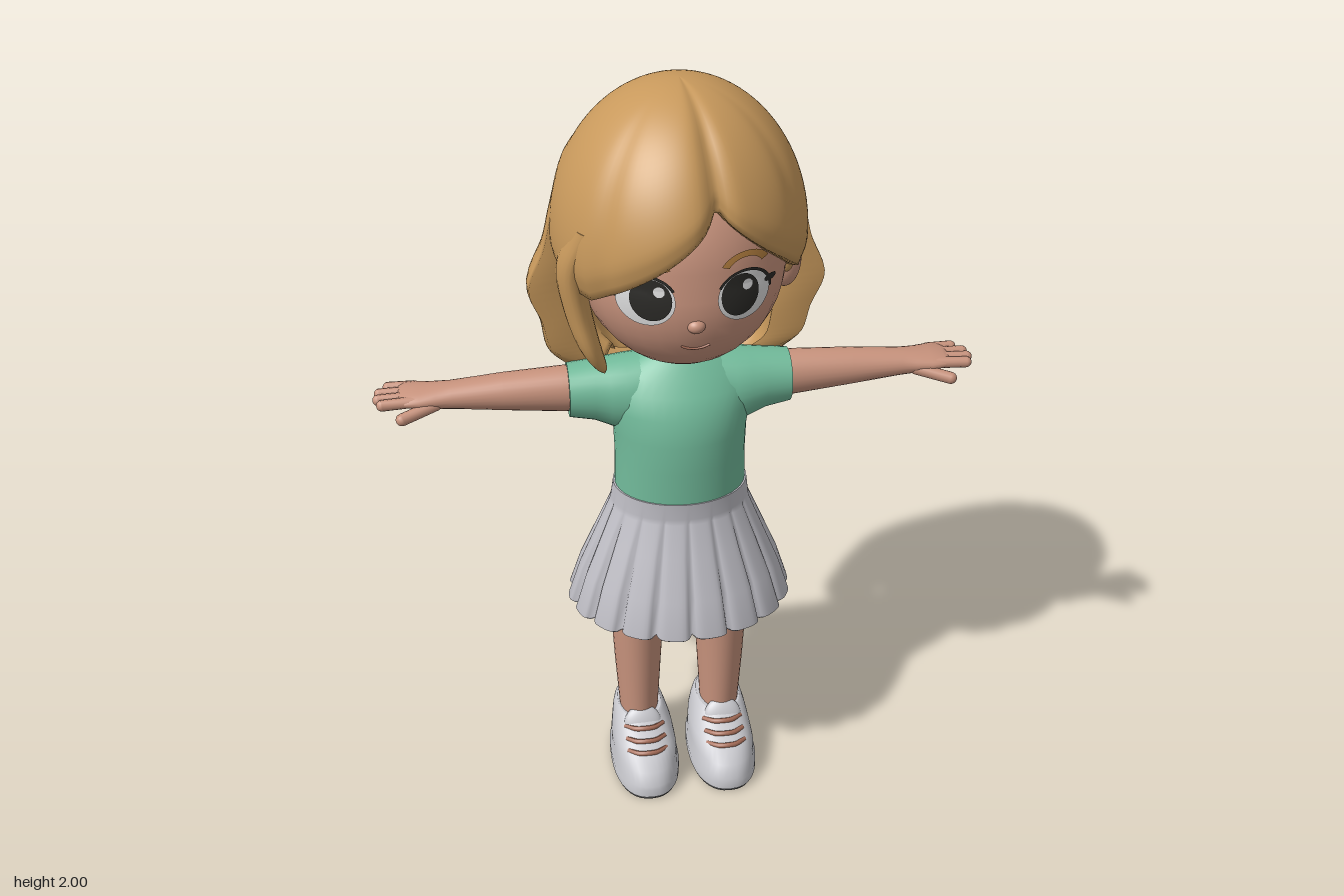
import * as THREE from 'three';

const mat = (name, color) => new THREE.MeshStandardMaterial({ name, color });
const V = (x, y, z) => new THREE.Vector3(x, y, z);

// Surface through rows of points; every row is a closed loop, optional end caps
function skin(rows, caps = true) {
  const list = rows.slice();
  if (caps) {
    const flat = (r) => {
      const c = r.reduce((s, p) => s.add(p), V(0, 0, 0)).divideScalar(r.length);
      return [r.map(() => c), r];
    };
    list.unshift(...flat(rows[0]));
    list.push(...flat(rows[rows.length - 1]).reverse());
  }
  const n = list[0].length, pos = [], idx = [];
  list.forEach((r) => r.forEach((p) => pos.push(p.x, p.y, p.z)));
  for (let i = 0; i < list.length - 1; i++) for (let j = 0; j < n; j++) {
    const a = i * n + j, b = i * n + (j + 1) % n;
    idx.push(a, b, b + n, a, b + n, a + n);
  }
  const g = new THREE.BufferGeometry();
  g.setAttribute('position', new THREE.Float32BufferAttribute(pos, 3));
  g.setIndex(idx);
  g.computeVertexNormals();
  return g;
}

// Upright loft: [y, cx, cz, rx, rz]; e < 1 squares the section
const loftY = (secs, n = 32, e = 1) => skin(secs.map(([y, cx, cz, rx, rz]) =>
  Array.from({ length: n }, (_, j) => {
    const a = j / n * Math.PI * 2, s = Math.sin(a), c = Math.cos(a);
    return V(cx + rx * Math.sign(s) * Math.abs(s) ** e, y, cz + rz * Math.sign(c) * Math.abs(c) ** e);
  })));
// Sideways loft: [x, cy, cz, ry, rz]
const loftX = (secs, n = 28) => skin(secs.map(([x, cy, cz, ry, rz]) =>
  Array.from({ length: n }, (_, j) => {
    const a = j / n * Math.PI * 2;
    return V(x, cy - ry * Math.sin(a), cz + rz * Math.cos(a));
  })));

function capsule(a, b, r) {
  const d = b.clone().sub(a), g = new THREE.CapsuleGeometry(r, d.length(), 6, 12);
  g.applyQuaternion(new THREE.Quaternion().setFromUnitVectors(V(0, 1, 0), d.normalize()));
  return g.translate((a.x + b.x) / 2, (a.y + b.y) / 2, (a.z + b.z) / 2);
}
const ball = (x, y, z, rx, ry, rz) => new THREE.SphereGeometry(1, 32, 24).scale(rx, ry, rz).translate(x, y, z);
const tube = (pts, r) => new THREE.TubeGeometry(new THREE.CatmullRomCurve3(pts), 16, r, 8);

function mirror(geo) {
  const g = geo.clone().scale(-1, 1, 1), ix = g.index.array;
  for (let i = 0; i < ix.length; i += 3) [ix[i], ix[i + 1]] = [ix[i + 1], ix[i]];
  g.computeVertexNormals();
  return g;
}

// Front surface of the face, used to lay features on it
const faceZ = (x, y) => 0.06 + 0.245 * Math.sqrt(Math.max(0, 1 - ((y - 1.58) / 0.27) ** 2 - (x / 0.26) ** 2))
  + 0.2 * Math.max(0, 1.58 - y);
function drape(cx, cy, a, b, off, inner = 0, start = 0, len = Math.PI * 2) {
  const g = new THREE.RingGeometry(inner, 1, 32, 5, start, len), p = g.attributes.position;
  for (let i = 0; i < p.count; i++) {
    const x = cx + a * p.getX(i), y = cy + b * p.getY(i);
    p.setXYZ(i, x, y, faceZ(x, y) + off);
  }
  g.computeVertexNormals();
  return g;
}

export function createModel() {
  const M = {
    skin: mat('skin', 0xc8937d), hair: mat('hair', 0xc8995c), brow: mat('brow', 0xb17d3e),
    shirt: mat('shirt', 0x72bb9b), skirt: mat('skirt', 0xbfbec5), shoe: mat('shoe', 0xc8c8cd),
    sole: mat('sole', 0x555555), eyeWhite: mat('eyeWhite', 0xdcdcdc), dark: mat('dark', 0x2a2926),
    lace: mat('lace', 0xa96f5a),
  };
  const model = new THREE.Group();
  model.name = 'girl';
  const add = (name, geo, m) => {
    const mesh = new THREE.Mesh(geo, m);
    mesh.name = name;
    model.add(mesh);
  };
  const pair = (name, geo, m) => {
    add(name + 'Left', geo, m);
    add(name + 'Right', mirror(geo), m);
  };

  // Head, ears, nose and neck
  const head = ball(0, 1.58, 0.06, 0.26, 0.27, 0.245), hp = head.attributes.position;
  for (let i = 0; i < hp.count; i++) hp.setZ(i, hp.getZ(i) + 0.2 * Math.max(0, 1.58 - hp.getY(i)));
  head.computeVertexNormals();
  add('head', head, M.skin);
  pair('ear', ball(0.262, 1.525, 0.05, 0.042, 0.075, 0.04), M.skin);
  add('nose', ball(0, 1.485, 0.302, 0.022, 0.018, 0.02), M.skin);
  add('neck', loftY([[1.22, 0, 0.03, 0.075, 0.06], [1.28, 0, 0.03, 0.066, 0.055], [1.38, 0, 0.04, 0.066, 0.055]]), M.skin);

  // Face details
  pair('eye', drape(0.117, 1.55, 0.067, 0.062, 0.004), M.eyeWhite);
  pair('iris', drape(0.106, 1.555, 0.048, 0.052, 0.007), M.dark);
  pair('lash', drape(0.117, 1.55, 0.073, 0.067, 0.008, 0.9, 0, Math.PI * 0.85), M.dark);
  pair('lashTip', drape(0.187, 1.57, 0.017, 0.008, 0.006), M.dark);
  pair('eyebrow', drape(0.12, 1.61, 0.066, 0.047, 0.006, 0.7, 0.4, 2.3), M.brow);
  for (const s of [-1, 1]) add('eyeGlint', drape(s * 0.106 + 0.018, 1.578, 0.013, 0.013, 0.0095), M.eyeWhite);
  add('mouth', tube([-0.035, -0.018, 0, 0.018, 0.035].map((x) => {
    const y = 1.418 + 8 * x * x;
    return V(x, y, faceZ(x, y));
  }), 0.003), M.lace);

  // Hair cap with a side parting and swept fringe
  const part = 0.18, bump = (d, w) => Math.exp(-((d / w) ** 2));
  const capRows = [], nA = 120, nT = 30;
  for (let i = -1; i <= nT; i++) {
    const t = Math.max(i, 0) / nT, row = [];
    for (let j = 0; j < nA; j++) {
      const f = (j / nA) * Math.PI * 2 - Math.PI, d = f - part;
      const edge = Math.max(1.53, 1.79 - 0.24 * Math.abs(d) ** 0.7);
      const th = Math.acos((edge - 1.62) / 0.38) * (1 - t), fade = Math.min(1, Math.sin(th) * 1.6);
      let k = 1 - fade * (0.075 * bump(d, 0.1) + 0.02 * bump(d + 0.95, 0.1) + 0.02 * bump(d - 0.8, 0.1));
      k *= 1 - 0.04 * bump(t, 0.06);
      if (i < 0) k *= 0.74;
      const rz = Math.cos(f) > 0 ? 0.333 - 0.016 * Math.tanh(d * 4) : 0.31;
      row.push(V(0.315 * k * Math.sin(f) * Math.sin(th),
        1.62 + 0.38 * Math.cos(th) * (1 - 0.025 * fade * bump(d, 0.15)), 0.03 + rz * k * Math.cos(f) * Math.sin(th)));
    }
    capRows.push(row);
  }
  add('hairCap', skin(capRows, false), M.hair);

  // Long wavy back hair: profile points are (half width, height, back depth)
  const profile = new THREE.CatmullRomCurve3([
    V(0.26, 1.19, -0.25), V(0.325, 1.26, -0.295), V(0.345, 1.36, -0.33), V(0.375, 1.46, -0.342),
    V(0.335, 1.57, -0.32), V(0.312, 1.67, -0.295), V(0.272, 1.81, -0.24), V(0.18, 1.91, -0.14)]);
  const backRows = [], nB = 60;
  for (let i = -1; i <= 32; i++) {
    const t = Math.max(i, 0) / 32, p = profile.getPoint(t), row = [];
    const front = 0.015 - 0.035 * (1 - t);
    for (let j = 0; j < nB * 2; j++) {
      const outer = j < nB, u = (outer ? j : nB * 2 - 1 - j) / (nB - 1), b = Math.PI * (0.47 + 1.06 * u);
      const wave = Math.abs(Math.sin(u * Math.PI * 5)), low = (1 - t) ** 4;
      const k = (i < 0 ? 0.86 : outer ? 1 : 0.72) * (1 + 0.05 * (wave - 0.6) * low);
      const y = p.y + low * (0.06 - 0.05 * wave - 0.02 * Math.sin(u * Math.PI)) - (i < 0 ? 0.015 : 0);
      row.push(V(p.x * k * Math.sin(b), y, front + (front - p.z) * k * Math.cos(b)));
    }
    backRows.push(row);
  }
  add('backHair', skin(backRows), M.hair);

  // Loose lock framing the right cheek, and a small sideburn on the left
  const lockPath = new THREE.CatmullRomCurve3([V(-0.235, 1.7, 0.17), V(-0.275, 1.58, 0.13), V(-0.262, 1.46, 0.12),
    V(-0.235, 1.36, 0.13), V(-0.2, 1.28, 0.125)]);
  add('cheekLock', loftY(Array.from({ length: 21 }, (_, i) => {
    const t = 1 - i / 20, p = lockPath.getPoint(t), w = Math.sqrt(Math.max(0.004, 1 - t ** 3));
    return [p.y, p.x, p.z, 0.036 * w, 0.065 * w];
  }), 20), M.hair);
  add('sideburn', ball(0.255, 1.57, 0.105, 0.022, 0.055, 0.025), M.hair);

  // Shirt with short sleeves
  add('shirt', loftY([[0.89, 0, 0.05, 0.172, 0.14], [1, 0, 0.05, 0.17, 0.14], [1.08, 0, 0.05, 0.173, 0.141],
    [1.15, 0, 0.045, 0.185, 0.133], [1.2, 0, 0.036, 0.188, 0.115], [1.24, 0, 0.03, 0.165, 0.092],
    [1.265, 0, 0.03, 0.125, 0.073], [1.283, 0, 0.025, 0.09, 0.06]], 40), M.shirt);
  pair('sleeve', loftX([[0.08, 1.175, 0.03, 0.103, 0.09], [0.14, 1.17, 0.03, 0.103, 0.092], [0.18, 1.176, 0.03, 0.092, 0.085],
    [0.22, 1.183, 0.03, 0.08, 0.077], [0.285, 1.186, 0.03, 0.07, 0.07]]), M.shirt);

  // Arms and hands
  pair('arm', loftX([[0.2, 1.188, 0.028, 0.062, 0.058], [0.3, 1.19, 0.027, 0.06, 0.055], [0.45, 1.193, 0.025, 0.048, 0.05],
    [0.58, 1.195, 0.025, 0.034, 0.044], [0.62, 1.195, 0.022, 0.03, 0.05], [0.66, 1.195, 0.017, 0.026, 0.058],
    [0.695, 1.197, 0.015, 0.02, 0.057], [0.71, 1.197, 0.015, 0.012, 0.05]]), M.skin);
  [[-0.032, 0.735], [-0.001, 0.757], [0.03, 0.761], [0.059, 0.752]].forEach(([z, x]) =>
    pair('finger', capsule(V(0.67, 1.198, z * 0.9 + 0.002), V(x, 1.196, z), 0.0145), M.skin));
  pair('thumb', capsule(V(0.62, 1.185, 0.055), V(0.705, 1.168, 0.088), 0.016), M.skin);

  // Pleated skirt: inside surface, hem, then outside up to the waistband
  const skirtRow = (y, rx, rz, cz, amp) => Array.from({ length: 180 }, (_, j) => {
    const a = (j / 180) * Math.PI * 2, u = (j % 10) / 10;
    const k = 1 - amp * Math.abs(2 * u - 1) ** 5 + amp * 0.35 * (u - 0.5);
    return V(rx * k * Math.sin(a), y + 0.1 * amp * Math.abs(2 * u - 1) ** 4, cz + rz * k * Math.cos(a));
  });
  add('skirt', skin([skirtRow(0.84, 0.17, 0.135, 0.045, 0), skirtRow(0.55, 0.283, 0.238, 0.035, 0.07),
    skirtRow(0.543, 0.293, 0.248, 0.035, 0.07), skirtRow(0.55, 0.302, 0.256, 0.035, 0.07),
    skirtRow(0.65, 0.27, 0.225, 0.038, 0.07), skirtRow(0.76, 0.224, 0.182, 0.042, 0.05),
    skirtRow(0.85, 0.186, 0.149, 0.045, 0.02), skirtRow(0.865, 0.182, 0.145, 0.046, 0),
    skirtRow(0.912, 0.176, 0.143, 0.05, 0)]), M.skirt);
  add('shorts', loftY([[0.6, 0, 0.03, 0.06, 0.07], [0.64, 0, 0.03, 0.15, 0.115], [0.7, 0, 0.035, 0.185, 0.13],
    [0.8, 0, 0.04, 0.175, 0.13]]), M.skirt);

  // Legs
  pair('leg', loftY([[0.1, 0.115, 0.035, 0.052, 0.07], [0.16, 0.115, 0.035, 0.054, 0.072], [0.32, 0.116, 0.033, 0.064, 0.086],
    [0.54, 0.115, 0.03, 0.077, 0.1], [0.7, 0.105, 0.03, 0.086, 0.11]]), M.skin);

  // Laced shoes
  pair('shoeSole', loftY([[0, 0.11, 0.1, 0.09, 0.174], [0.01, 0.11, 0.1, 0.092, 0.177]], 40, 0.85), M.sole);
  pair('shoe', loftY([[0.01, 0.11, 0.1, 0.094, 0.18], [0.034, 0.11, 0.1, 0.094, 0.18], [0.04, 0.11, 0.1, 0.089, 0.174],
    [0.08, 0.11, 0.094, 0.088, 0.168], [0.108, 0.11, 0.07, 0.083, 0.145], [0.135, 0.112, 0.04, 0.075, 0.112],
    [0.155, 0.113, 0.028, 0.068, 0.096], [0.16, 0.113, 0.027, 0.06, 0.088]], 40, 0.85), M.shoe);
  pair('shoeTongue', ball(0, 0, 0, 0.052, 0.05, 0.02).rotateX(-0.45).translate(0.114, 0.14, 0.112), M.shoe);
  [[0.142, 0.146], [0.126, 0.182], [0.11, 0.214]].forEach(([y, z]) => pair('lace',
    tube([V(0.058, y - 0.006, z - 0.03), V(0.085, y, z - 0.006), V(0.111, y + 0.003, z), V(0.137, y, z - 0.006),
      V(0.164, y - 0.006, z - 0.03)], 0.007), M.lace));

  return model;
}
